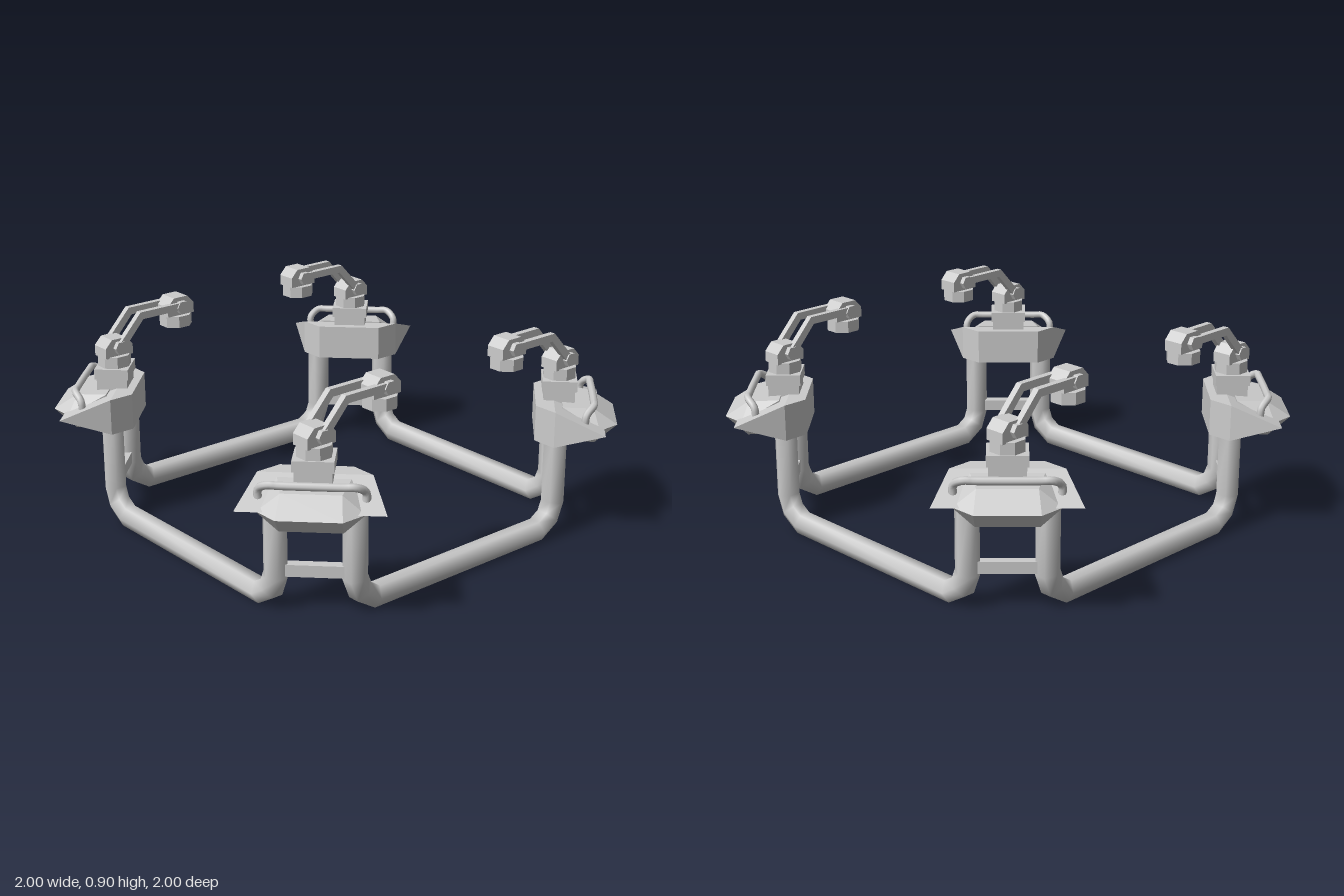
import * as THREE from 'three';
import { ConvexGeometry } from 'three/addons/geometries/ConvexGeometry.js';

const smooth = new THREE.MeshStandardMaterial({ color: 0xcccccc });
const flat = new THREE.MeshStandardMaterial({ color: 0xcccccc, flatShading: true });

function add(parent, name, geometry, material = flat, x = 0, y = 0, z = 0) {
  const mesh = new THREE.Mesh(geometry, material);
  mesh.name = name;
  mesh.position.set(x, y, z);
  parent.add(mesh);
  return mesh;
}

// Sweep a polygon along a path in the xy plane, with mitred bends
function sweep(path, r, sides) {
  const pos = [], index = [];
  const pts = path.map(([x, y]) => new THREE.Vector2(x, y));
  pts.forEach((p, i) => {
    const a = p.clone().sub(pts[Math.max(i - 1, 0)]).normalize();
    const b = pts[Math.min(i + 1, pts.length - 1)].clone().sub(p).normalize();
    const t = a.clone().add(b).normalize();
    const miter = 1 / Math.max(t.dot(a), t.dot(b));
    for (let k = 0; k < sides; k++) {
      const ang = (k / sides) * Math.PI * 2;
      const s = Math.sin(ang) * r * miter;
      pos.push(p.x - t.y * s, p.y + t.x * s, Math.cos(ang) * r);
      if (i === 0) continue;
      const k2 = (k + 1) % sides, lo = (i - 1) * sides, hi = i * sides;
      index.push(lo + k, hi + k, lo + k2, hi + k, hi + k2, lo + k2);
    }
  });
  const g = new THREE.BufferGeometry();
  g.setAttribute('position', new THREE.Float32BufferAttribute(pos, 3));
  g.setIndex(index);
  g.computeVertexNormals();
  return g;
}

// Convex solid from points mirrored in x
function mirroredHull(points) {
  return new ConvexGeometry(points.flatMap(([x, y, z]) =>
    [new THREE.Vector3(x, y, z), new THREE.Vector3(-x, y, z)]));
}

// Outline in xy, extruded evenly about z = 0
function slab(outline, depth) {
  const shape = new THREE.Shape(outline.map(([x, y]) => new THREE.Vector2(x, y)));
  return new THREE.ExtrudeGeometry(shape, { depth, bevelEnabled: false }).translate(0, 0, -depth / 2);
}

function octagon(apothem, height) {
  return new THREE.CylinderGeometry(apothem / Math.cos(Math.PI / 8), apothem / Math.cos(Math.PI / 8), height, 8)
    .rotateY(Math.PI / 8);
}

// Corner pod, with local z pointing outwards along the diagonal
function cornerPod() {
  const pod = new THREE.Group();
  pod.name = 'cornerPod';
  add(pod, 'podBody', mirroredHull([
    [0.141, 0.415, 0.849], [0.141, 0.57, 0.849],
    [0.219, 0.415, 0.926], [0.219, 0.57, 0.926],
    [0.283, 0.495, 1.131],
  ]));
  add(pod, 'podArmourPlate', mirroredHull([
    [0.124, 0.49, 1.19], [0.203, 0.49, 1.112],
    [0.115, 0.555, 1.09], [0.12, 0.407, 1.1],
    [0.14, 0.565, 0.96], [0.14, 0.42, 0.96],
  ]));

  // Grab handle
  const path = new THREE.CatmullRomCurve3([
    [-0.2, 0.5, 1.05], [-0.2, 0.555, 1.055], [-0.165, 0.585, 1.085], [-0.12, 0.585, 1.088],
    [0.12, 0.585, 1.088], [0.165, 0.585, 1.085], [0.2, 0.555, 1.055], [0.2, 0.5, 1.05],
  ].map((p) => new THREE.Vector3(...p)));
  add(pod, 'podHandle', new THREE.TubeGeometry(path, 40, 0.016, 8), smooth);

  // Arm pedestal and brace between the two legs
  add(pod, 'armPedestal', new THREE.BoxGeometry(0.145, 0.07, 0.13), flat, 0, 0.585, 0.948);
  add(pod, 'armTurntable', new THREE.BoxGeometry(0.16, 0.045, 0.145), flat, 0, 0.633, 0.948);
  add(pod, 'legBrace', new THREE.BoxGeometry(0.29, 0.05, 0.04), flat, 0, 0.175, 0.937);
  return pod;
}

// Jointed arm reaching towards -x
function arm() {
  const g = new THREE.Group();
  g.name = 'arm';
  add(g, 'armPost', octagon(0.066, 0.05), flat, 0, 0.68, 0);
  const block = [[-0.068, 0], [0.068, 0], [0.068, 0.045], [0.035, 0.08], [-0.035, 0.08], [-0.068, 0.045]];
  add(g, 'shoulderBlock', slab(block, 0.085), flat, 0, 0.7, 0);
  add(g, 'headBlock', slab(block, 0.085), flat, -0.325, 0.82, 0);
  add(g, 'headFoot', octagon(0.066, 0.05), flat, -0.325, 0.795, 0);

  // Twin links with hexagonal pivot bolts on both sides
  const link = [[0.012, 0.728], [0.012, 0.752], [-0.105, 0.878], [-0.32, 0.878],
    [-0.32, 0.846], [-0.118, 0.846], [-0.012, 0.728]];
  for (const s of [-1, 1]) {
    add(g, 'armLink', slab(link, 0.026), flat, 0, 0, s * 0.045);
    for (const [x, y] of [[0, 0.742], [-0.325, 0.857]]) {
      const bolt = new THREE.CylinderGeometry(0.03, 0.03, 0.03, 6).rotateY(Math.PI / 6).rotateX(Math.PI / 2);
      add(g, 'pivotBolt', bolt, flat, x, y, s * 0.049);
    }
  }
  return g;
}

export function createModel() {
  const model = new THREE.Group();
  model.name = 'fourCornerFrame';

  // Half of the U-shaped rail, then mirrored
  const half = [[0.553, 0.45], [0.553, 0.15], [0.527, 0.085], [0.46, 0.0433]];
  const rail = [...half.map(([x, y]) => [-x, y]), ...half.slice().reverse()];
  const railGeometry = sweep(rail, 0.05, 6);

  for (let k = 0; k < 4; k++) {
    const side = new THREE.Group();
    side.name = 'frameSide';
    add(side, 'frameRail', railGeometry, smooth, 0, 0, 0.77);
    side.rotation.y = (k * Math.PI) / 2;
    model.add(side);

    const pod = cornerPod();
    pod.rotation.y = Math.PI / 4 + (k * Math.PI) / 2;
    model.add(pod);
  }

  for (const sx of [-1, 1]) {
    for (const sz of [-1, 1]) {
      const a = arm();
      a.position.set(sx * 0.67, 0, sz * 0.67);
      a.rotation.y = sx > 0 ? 0 : Math.PI;
      model.add(a);
    }
  }
  return model;
}
